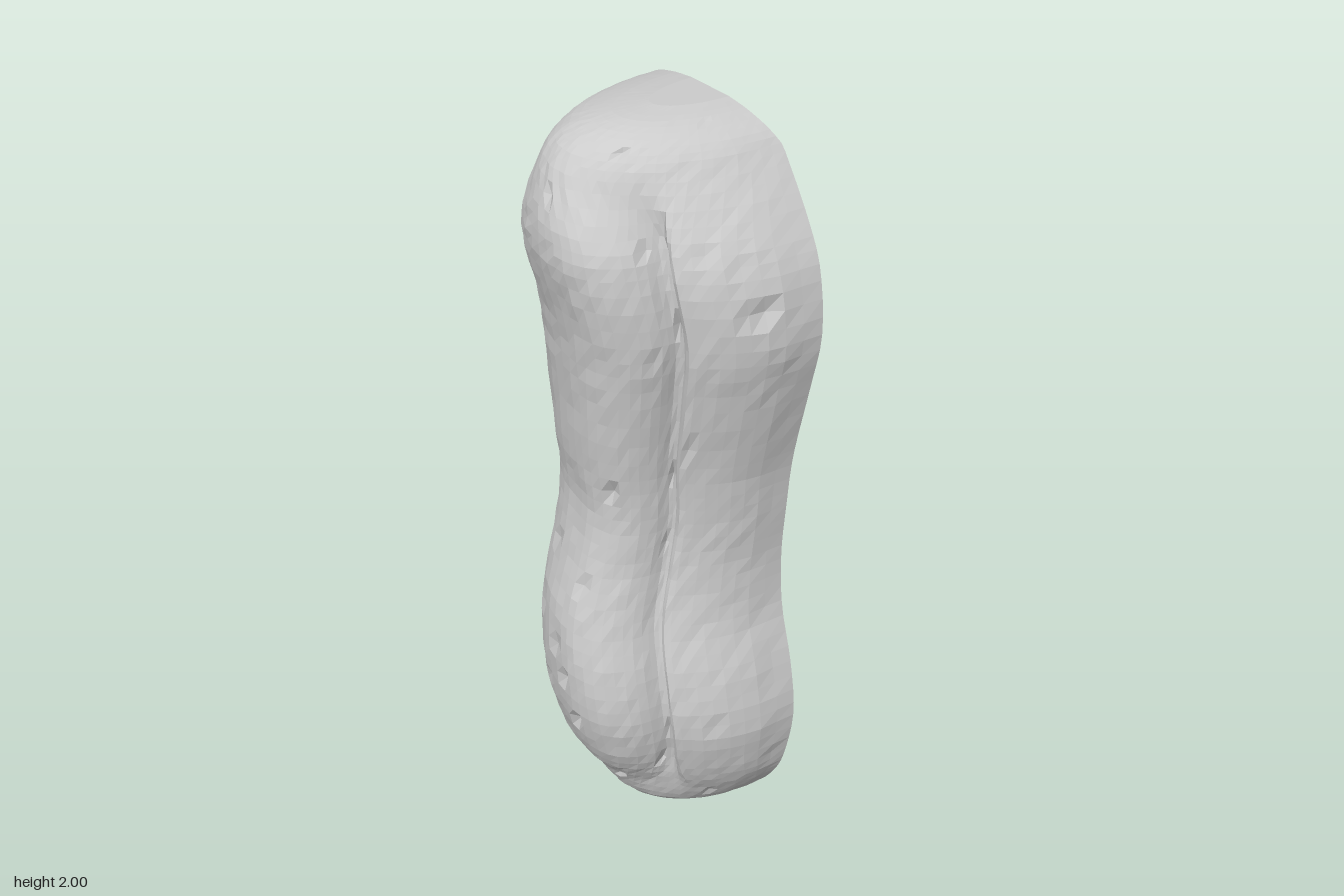
import * as THREE from 'three';

const BACK = -0.24;

// Silhouette by height: [y, left edge, right edge, front depth]
const PROFILE = [
  [0.003, -0.04, 0.06, -0.15], [0.03, -0.11, 0.14, -0.04], [0.1, -0.2, 0.24, 0.06],
  [0.2, -0.295, 0.31, 0.12], [0.3, -0.335, 0.345, 0.18], [0.45, -0.335, 0.365, 0.225],
  [0.6, -0.32, 0.34, 0.237], [0.75, -0.312, 0.295, 0.22], [0.9, -0.31, 0.28, 0.175],
  [1.05, -0.315, 0.287, 0.15], [1.2, -0.325, 0.3, 0.165], [1.4, -0.345, 0.34, 0.18],
  [1.55, -0.36, 0.366, 0.195], [1.7, -0.368, 0.345, 0.225], [1.8, -0.33, 0.295, 0.22],
  [1.9, -0.285, 0.225, 0.18], [1.955, -0.235, 0.18, 0.125], [1.985, -0.15, 0.12, 0.05],
  [1.998, -0.07, 0.06, -0.05],
];

// Half cross-section from -x round the front to +x, with a long seam before the side lobe
const SECTION = [
  [-1, 0], [-0.98, 0.21], [-0.92, 0.4], [-0.81, 0.57], [-0.69, 0.74], [-0.62, 0.78], [-0.5, 0.88],
  [-0.27, 0.96], [0, 1], [0.2, 1], [0.38, 0.95], [0.5, 0.85], [0.56, 0.73], [0.57, 0.64],
  [0.62, 0.61], [0.7, 0.65], [0.79, 0.58], [0.9, 0.44], [0.98, 0.25], [1, 0],
];

function seeded(seed) {
  return () => {
    seed = (seed * 16807) % 2147483647;
    return seed / 2147483647;
  };
}

const curve = (points) => new THREE.CatmullRomCurve3(points, false, 'catmullrom', 0.5);

export function createModel() {
  const random = seeded(4217);
  const rows = 66, cols = 44;
  const leftEdge = curve(PROFILE.map(([y, l]) => new THREE.Vector3(l, y, 0)));
  const rightEdge = curve(PROFILE.map(([y, , r]) => new THREE.Vector3(r, y, 0)));
  const frontEdge = curve(PROFILE.map(([y, , , f]) => new THREE.Vector3(0, y, f)));
  const section = curve(SECTION.map(([u, v]) => new THREE.Vector3(u, v, 0)));
  const positions = [], index = [];

  // Rings stacked upward; the first and last shrink to a point to close the ends
  for (let i = -1; i <= rows + 1; i++) {
    const t = THREE.MathUtils.clamp(i / rows, 0, 1);
    const left = leftEdge.getPoint(t), right = rightEdge.getPoint(t);
    const y = left.y, closed = i < 0 || i > rows;
    const back = BACK + Math.max(0, y - 1.93) * 0.5;
    const half = (right.x - left.x) / 2, middle = (right.x + left.x) / 2;
    const depth = frontEdge.getPoint(t).z - back;
    const seam = THREE.MathUtils.smoothstep(y, 0.08, 0.35) * (1 - THREE.MathUtils.smoothstep(y, 1.75, 1.95));
    for (let j = 0; j <= cols; j++) {
      const p = section.getPoint(j / cols);
      const angle = Math.PI * (1 - j / cols);
      let u = THREE.MathUtils.lerp(Math.cos(angle), p.x, seam);
      let v = THREE.MathUtils.lerp(Math.sin(angle), p.y, seam);
      if (j > 0 && j < cols && !closed) {
        // Fine roughness with a few deeper chips in the shell
        const chip = random() < 0.03 ? 0.05 : 0.01;
        const shrink = 1 - chip * random();
        u *= shrink;
        v *= shrink;
      }
      positions.push(
        middle + (closed ? 0 : u * half),
        y,
        back + (closed ? 0 : Math.max(0, v) * depth),
      );
    }
  }

  // The wrap from the last column to the first makes the flat back
  const ring = cols + 1;
  for (let i = 0; i < rows + 2; i++) {
    for (let j = 0; j < ring; j++) {
      const a = i * ring + j, b = i * ring + ((j + 1) % ring);
      index.push(a, b, b + ring, a, b + ring, a + ring);
    }
  }

  const geometry = new THREE.BufferGeometry();
  geometry.setAttribute('position', new THREE.Float32BufferAttribute(positions, 3));
  geometry.setIndex(index);
  geometry.computeVertexNormals();

  const shell = new THREE.Mesh(
    geometry,
    new THREE.MeshStandardMaterial({ color: 0xcccccc, flatShading: true }),
  );
  shell.name = 'halfPeanutShell';

  const group = new THREE.Group();
  group.name = 'halfPeanut';
  group.add(shell);
  return group;
}
